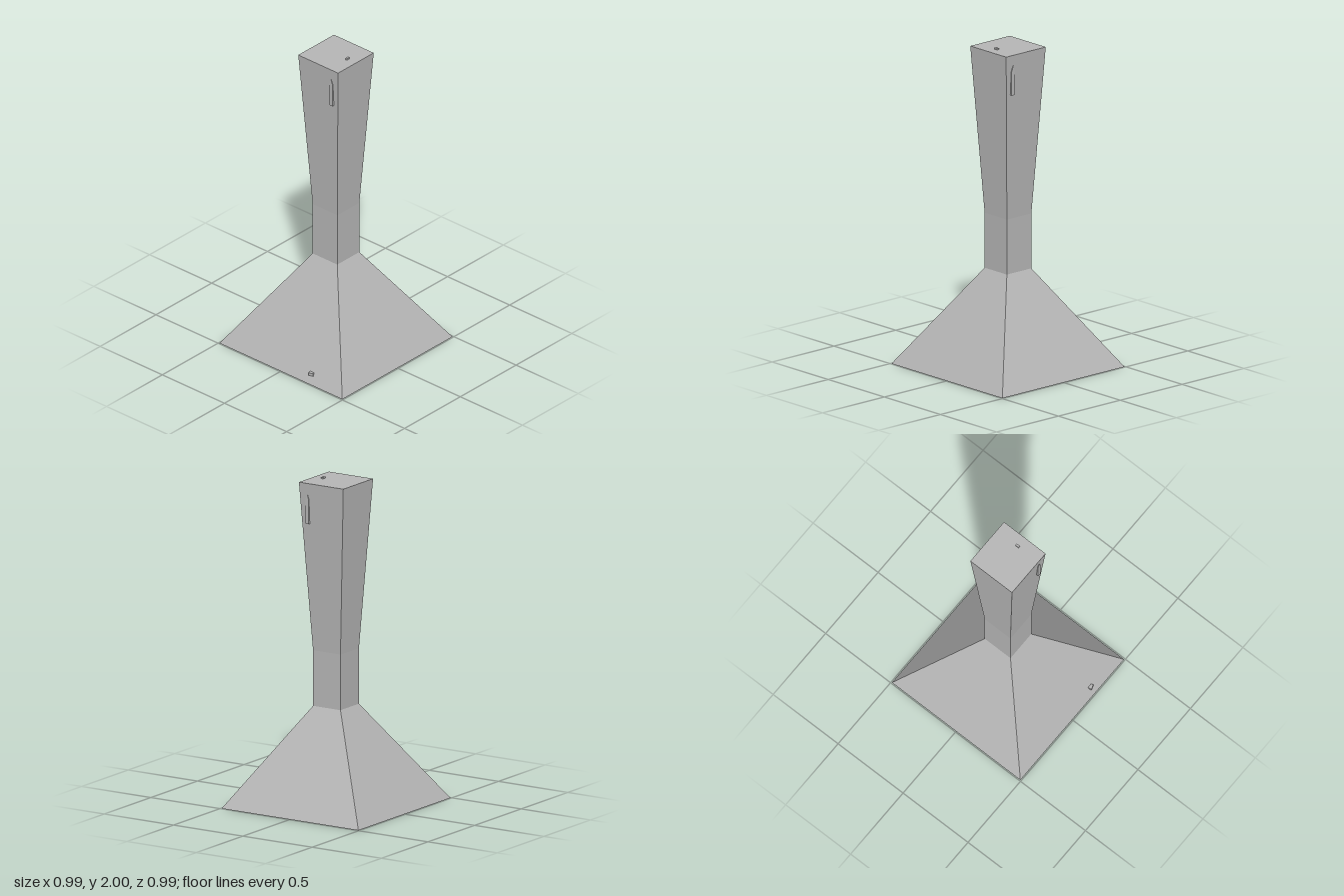
import * as THREE from 'three';

const stone = new THREE.MeshStandardMaterial({ color: 0xb4b4b4, flatShading: true });
stone.name = 'grey';

function add(group, name, geometry, x = 0, y = 0, z = 0) {
  const mesh = new THREE.Mesh(geometry, stone);
  mesh.name = name;
  mesh.position.set(x, y, z);
  group.add(mesh);
  return mesh;
}

// Open square tube; sizes are half widths
function squareTube(bottom, top, height) {
  return new THREE.CylinderGeometry(top * Math.SQRT2, bottom * Math.SQRT2, height, 4, 1, true)
    .rotateY(Math.PI / 4);
}

export function createModel() {
  const group = new THREE.Group();
  group.name = 'pedestalTower';

  // Tower sections: name, lower y, upper y, lower and upper half width
  const sections = [
    ['base', 0, 0.607, 0.494, 0.099],
    ['neck', 0.607, 0.95, 0.099, 0.099],
    ['flaredTop', 0.95, 1.99, 0.099, 0.16],
  ];
  for (const [name, y0, y1, bottom, top] of sections) {
    add(group, name, squareTube(bottom, top, y1 - y0), 0, (y0 + y1) / 2, 0);
  }
  add(group, 'underside', new THREE.PlaneGeometry(0.988, 0.988).rotateX(Math.PI / 2));
  add(group, 'roof', new THREE.PlaneGeometry(0.32, 0.32).rotateX(-Math.PI / 2), 0, 1.99, 0);

  // Thin upright fins on the front and back, with slanted tops
  const outline = new THREE.Shape([
    [0.091, 1.74], [0.114, 1.74], [0.114, 1.89], [0.101, 1.925], [0.091, 1.89],
  ].map(([x, y]) => new THREE.Vector2(x, y)));
  for (const [side, z] of [['front', 0.139], ['back', -0.159]]) {
    add(group, side + 'Fin',
      new THREE.ExtrudeGeometry(outline, { depth: 0.02, bevelEnabled: false }), 0, 0, z);
  }

  // Small knobs on the roof and the front slope
  add(group, 'roofKnob', new THREE.BoxGeometry(0.013, 0.02, 0.024), 0.092, 1.99, 0);
  const knob = add(group, 'slopeKnob', new THREE.BoxGeometry(0.03, 0.018, 0.022), 0.218, 0.054, 0.461);
  knob.rotation.y = 0.3;

  return group;
}
